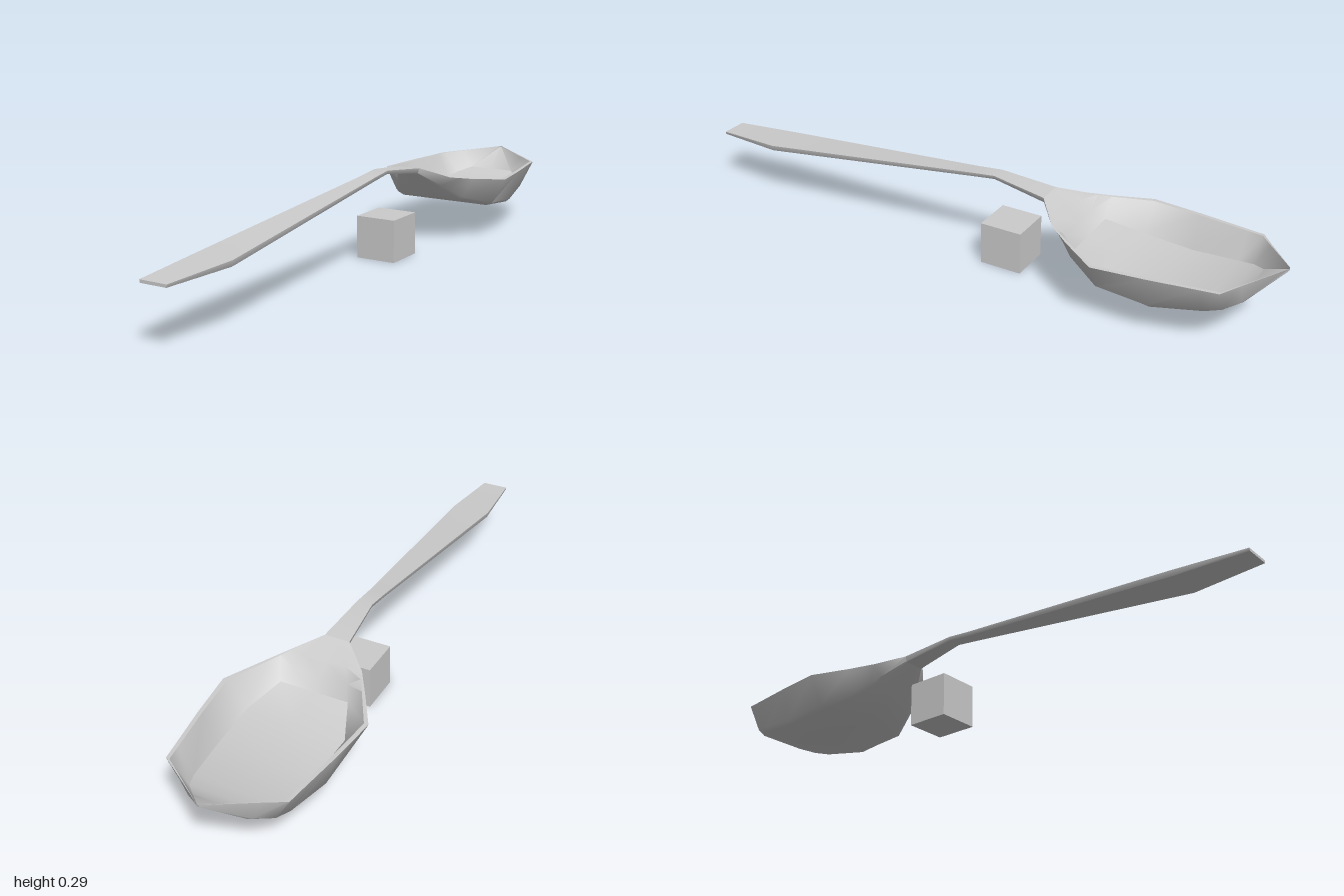
import * as THREE from 'three';
import { toCreasedNormals } from 'three/addons/utils/BufferGeometryUtils.js';

const { lerp } = THREE.MathUtils;

// One cross-section, clockwise as seen from +z: rim, floor, rim, then underside.
function section([z, cx, rimW, rimY, floorY, baseW, baseY]) {
  const lipW = rimW * 0.94;
  const floorW = Math.min(baseW * 0.97, rimW * 0.88);
  const shoulderW = lerp(baseW, rimW, 0.3);
  const shoulderY = lerp(baseY, rimY, 0.1);
  return [
    [-rimW, rimY], [-lipW, rimY], [-floorW, floorY], [0, floorY],
    [floorW, floorY], [lipW, rimY], [rimW, rimY],
    [shoulderW, shoulderY], [baseW, baseY], [0, baseY],
    [-baseW, baseY], [-shoulderW, shoulderY],
  ].map(([x, y]) => [cx + x, y, z]);
}

// Skin the sections, ordered from +z to -z, and close both ends.
function loft(stations, crease) {
  const rings = stations.map(section);
  const n = rings[0].length;
  const last = (rings.length - 1) * n;
  const index = [];
  for (let i = 0; i < rings.length - 1; i++) {
    for (let j = 0; j < n; j++) {
      const a = i * n + j, b = i * n + (j + 1) % n;
      index.push(a, b, a + n, b, b + n, a + n);
    }
  }
  for (let j = 1; j < n - 1; j++) {
    index.push(0, j + 1, j, last, last + j, last + j + 1);
  }
  const geometry = new THREE.BufferGeometry();
  geometry.setAttribute('position', new THREE.Float32BufferAttribute(rings.flat(2), 3));
  geometry.setIndex(index);
  return toCreasedNormals(geometry, crease);
}

export function createModel() {
  const model = new THREE.Group();
  const material = new THREE.MeshStandardMaterial({ color: 0xcccccc });
  const add = (name, geometry) => {
    const mesh = new THREE.Mesh(geometry, material);
    mesh.name = name;
    model.add(mesh);
    return mesh;
  };

  // Station: z, centre x, rim half-width, rim y, floor y, base half-width, base y
  add('handle', loft([
    [1.0, -0.008, 0.044, 0.195, 0.195, 0.042, 0.186],
    [0.77, -0.006, 0.064, 0.205, 0.205, 0.061, 0.187],
    [0.0, -0.005, 0.026, 0.286, 0.286, 0.023, 0.273],
    [-0.08, -0.005, 0.025, 0.295, 0.295, 0.022, 0.283],
    [-0.26, -0.005, 0.041, 0.275, 0.275, 0.035, 0.257],
  ], 0.6));

  // Bowl, starting with the flared shoulder at the neck
  add('bowl', loft([
    [-0.26, -0.005, 0.041, 0.275, 0.275, 0.035, 0.257],
    [-0.33, -0.003, 0.12, 0.24, 0.24, 0.07, 0.205],
    [-0.36, -0.002, 0.14, 0.235, 0.202, 0.09, 0.184],
    [-0.4, -0.001, 0.167, 0.228, 0.172, 0.115, 0.155],
    [-0.51, 0, 0.235, 0.215, 0.131, 0.165, 0.117],
    [-0.67, -0.003, 0.217, 0.215, 0.114, 0.17, 0.1],
    [-0.82, -0.006, 0.195, 0.215, 0.134, 0.145, 0.12],
    [-0.87, -0.007, 0.188, 0.215, 0.147, 0.125, 0.132],
    [-0.91, -0.008, 0.13, 0.222, 0.163, 0.085, 0.146],
    [-1.0, -0.01, 0.004, 0.237, 0.234, 0.003, 0.23],
  ], 0.8));

  // Loose cube resting on the ground below the neck
  add('cube', new THREE.BoxGeometry(0.138, 0.14, 0.14)).position.set(-0.011, 0.07, -0.126);

  return model;
}
